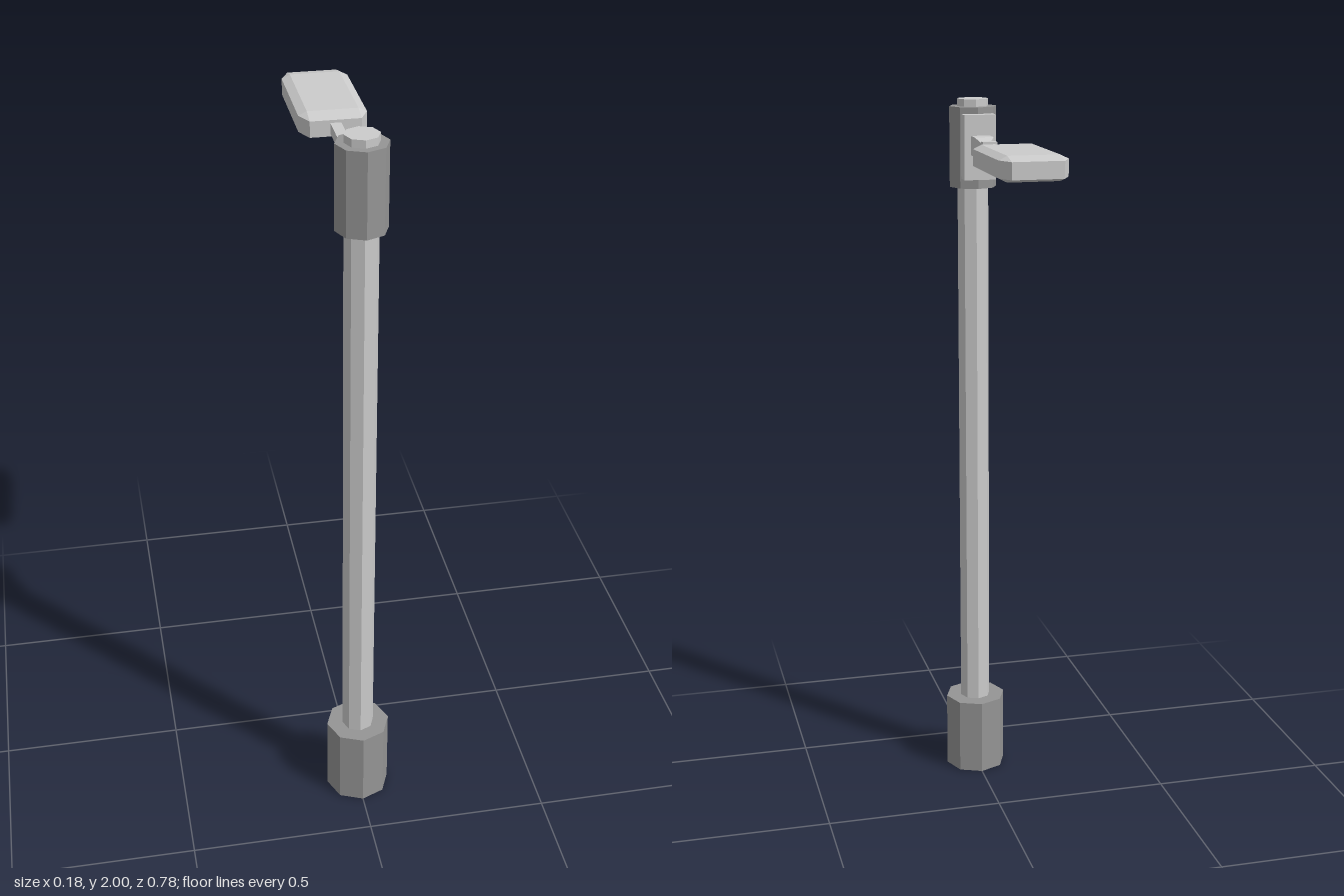
import * as THREE from 'three';
import { ConvexGeometry } from 'three/addons/geometries/ConvexGeometry.js';

const light = new THREE.MeshStandardMaterial({ color: 0xcccccc, flatShading: true });
const dark = new THREE.MeshStandardMaterial({ color: 0x959595, flatShading: true });

const POLE_Z = 0.3;
const POLE_R = 0.044;
const ARM_Y = 1.881;

export function createModel() {
  const group = new THREE.Group();

  function add(name, geometry, material, x, y, z) {
    const mesh = new THREE.Mesh(geometry, material);
    mesh.name = name;
    mesh.position.set(x, y, z);
    group.add(mesh);
    return mesh;
  }

  // Lathe from [radius, height] pairs
  const lathe = (points, sides) =>
    new THREE.LatheGeometry(points.map(([r, h]) => new THREE.Vector2(r, h)), sides);

  // Octagonal sleeve that wraps the pole
  const sleeve = (radius, height) =>
    lathe([[POLE_R, 0], [radius, 0], [radius, height], [POLE_R, height]], 8);

  // Pole, base and top collar
  add('pole', new THREE.CylinderGeometry(POLE_R, POLE_R, 2, 8), light, 0, 1, POLE_Z);
  add('base', sleeve(0.088, 0.222), dark, 0, 0, POLE_Z);
  add('collar', sleeve(0.066, 0.22), dark, 0, 1.76, POLE_Z);

  // Mounting block behind the collar
  add('bracket', new THREE.BoxGeometry(0.088, 0.175, 0.044), light, 0, 1.875, 0.232);

  // Square arm: socket, taper, ring and rod, as [half width, z]
  const armProfile = [
    [0, 0.22], [0.026, 0.22], [0.026, 0.165], [0.014, 0.149],
    [0.014, 0.118], [0.02, 0.118], [0.02, 0.097], [0.014, 0.097],
    [0.014, -0.05], [0, -0.05],
  ].map(([w, z]) => [w * Math.SQRT2, -z]);
  const arm = lathe(armProfile, 4);
  arm.rotateY(Math.PI / 4);
  arm.rotateX(-Math.PI / 2);
  add('arm', arm, light, 0, ARM_Y, 0);

  // Lamp head: a box with chamfered edges and corners
  const outer = [0.088, 0.032, 0.177];
  const inner = [0.066, 0.0215, 0.133];
  const corners = [];
  for (const sx of [-1, 1]) for (const sy of [-1, 1]) for (const sz of [-1, 1]) {
    for (let axis = 0; axis < 3; axis++) {
      const [x, y, z] = inner.map((v, i) => (i === axis ? outer[i] : v));
      corners.push(new THREE.Vector3(sx * x, sy * y, sz * z));
    }
  }
  add('lampHead', new ConvexGeometry(corners), light, 0, ARM_Y, -0.212);

  return group;
}
